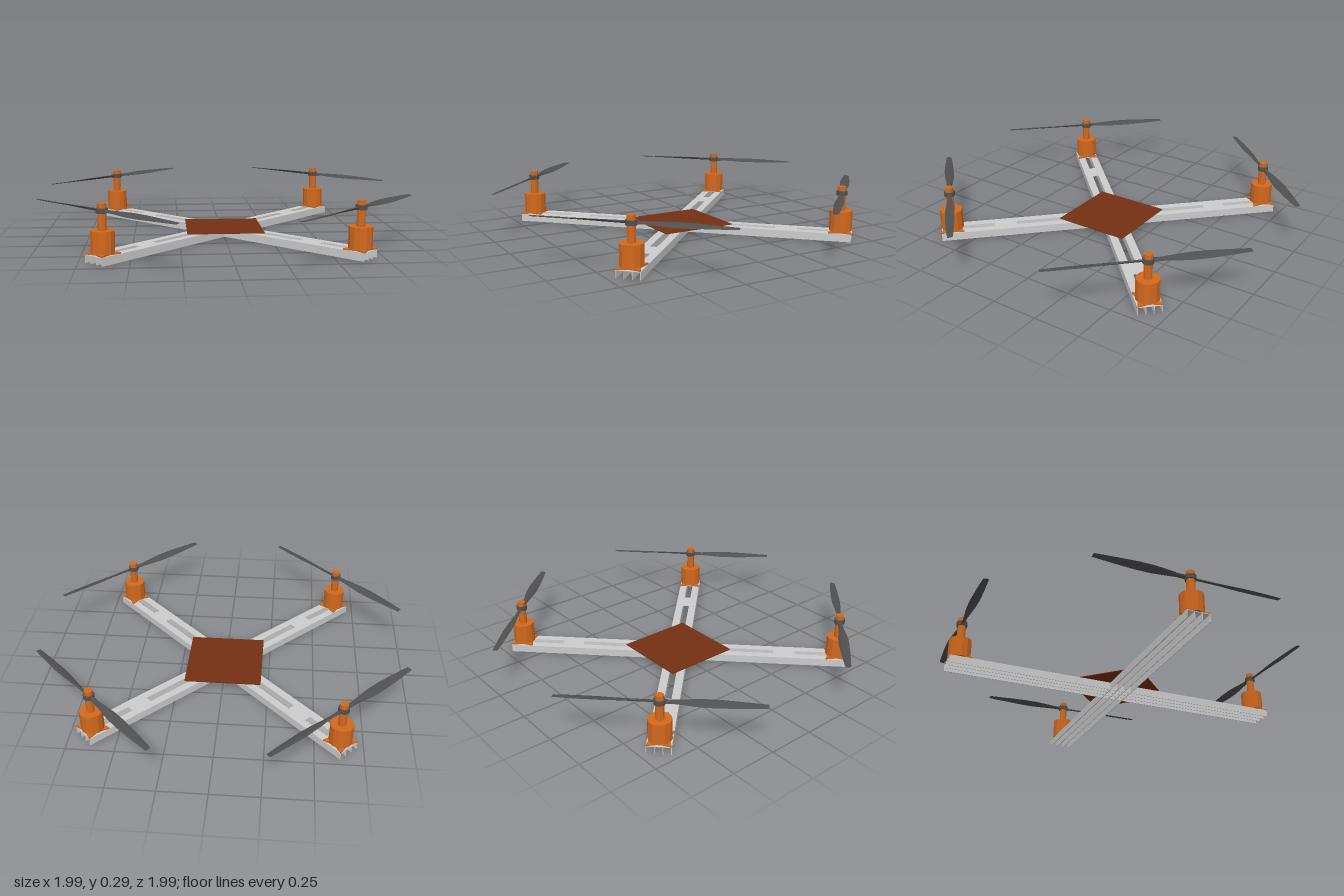
import * as THREE from 'three';

const mat = (color) => new THREE.MeshStandardMaterial({ color, flatShading: true, side: THREE.DoubleSide });
const grey = mat(0xcccccc), orange = mat(0xd2691e), brown = mat(0x743014), dark = mat(0x505050);

const BAR_H = 0.042, BAR_HALF = 0.95, MOTOR_R = 0.89;

function add(parent, name, geometry, material, x = 0, y = 0, z = 0) {
  const mesh = new THREE.Mesh(geometry, material);
  mesh.name = name;
  mesh.position.set(x, y, z);
  parent.add(mesh);
  return mesh;
}

// Flat shape in x/z, extruded upward
function slab(shape, height) {
  return new THREE.ExtrudeGeometry(shape, { depth: height, bevelEnabled: false }).rotateX(-Math.PI / 2);
}

function rectangle(x0, x1, halfWidth, Type) {
  return new Type([[x0, -halfWidth], [x1, -halfWidth], [x1, halfWidth], [x0, halfWidth]]
    .map(([x, y]) => new THREE.Vector2(x, y)));
}

// Open-bottomed bar: slotted top sheet on four thin walls
function frameBar() {
  const bar = new THREE.Group();
  bar.name = 'frameBar';
  const sheet = rectangle(-BAR_HALF, BAR_HALF, 0.0615, THREE.Shape);
  for (const [a, b] of [[0.1, 0.54], [0.66, 0.84]]) {
    sheet.holes.push(rectangle(a, b, 0.0185, THREE.Path), rectangle(-b, -a, 0.0185, THREE.Path));
  }
  add(bar, 'barTop', slab(sheet, 0.003), grey, 0, BAR_H - 0.003, 0);
  for (const z of [-0.06, -0.02, 0.02, 0.06]) {
    add(bar, 'barWall', new THREE.BoxGeometry(2 * BAR_HALF, BAR_H - 0.003, 0.003), grey, 0, (BAR_H - 0.003) / 2, z);
  }
  return bar;
}

// Twisted blade lofted along +z: [radius, chord, pitch, thickness]
function bladeGeometry() {
  const sections = [
    [0.015, 0.024, 0.5, 0.014], [0.07, 0.024, 0.45, 0.012], [0.13, 0.036, 0.4, 0.01],
    [0.2, 0.05, 0.33, 0.008], [0.28, 0.053, 0.26, 0.007], [0.38, 0.044, 0.2, 0.006],
    [0.46, 0.034, 0.15, 0.005], [0.5, 0.028, 0.12, 0.004],
  ];
  const n = 6, positions = [], index = [];
  sections.forEach(([r, chord, pitch, thick]) => {
    for (let j = 0; j < n; j++) {
      const a = (j / n) * Math.PI * 2;
      const u = Math.cos(a) * chord / 2, v = Math.sin(a) * thick / 2;
      positions.push(u * Math.cos(pitch) - v * Math.sin(pitch), u * Math.sin(pitch) + v * Math.cos(pitch), r);
    }
  });
  for (let i = 0; i < sections.length - 1; i++) {
    for (let j = 0; j < n; j++) {
      const a = i * n + j, b = i * n + (j + 1) % n;
      index.push(a, b, a + n, b, b + n, a + n);
    }
  }
  const last = (sections.length - 1) * n;
  for (let j = 1; j < n - 1; j++) index.push(0, j + 1, j, last, last + j, last + j + 1);
  const geometry = new THREE.BufferGeometry();
  geometry.setAttribute('position', new THREE.Float32BufferAttribute(positions, 3));
  geometry.setIndex(index);
  geometry.computeVertexNormals();
  return geometry;
}

function propeller() {
  const prop = new THREE.Group();
  prop.name = 'propeller';
  add(prop, 'propellerHub', new THREE.CylinderGeometry(0.029, 0.029, 0.024, 12), dark);
  const geometry = bladeGeometry();
  for (const turn of [0, Math.PI]) add(prop, 'blade', geometry, dark).rotation.y = turn;
  return prop;
}

// Motor with cross-shaped mount, shaft and propeller
function motorUnit() {
  const unit = new THREE.Group();
  unit.name = 'motorUnit';
  const star = new THREE.Shape();
  for (let i = 0; i < 8; i++) {
    const a = (i + 1) * Math.PI / 4, r = i % 2 ? 0.045 : 0.087;
    star[i ? 'lineTo' : 'moveTo'](r * Math.cos(a), r * Math.sin(a));
  }
  add(unit, 'motorMount', slab(star, 0.008), orange, 0, BAR_H, 0);
  add(unit, 'motorBody', new THREE.CylinderGeometry(0.06, 0.06, 0.11, 12), orange, 0, 0.105, 0);
  add(unit, 'motorShaft', new THREE.CylinderGeometry(0.022, 0.022, 0.13, 10), orange, 0, 0.225, 0);
  const prop = propeller();
  prop.position.y = 0.255;
  unit.add(prop);
  return unit;
}

export function createModel() {
  const model = new THREE.Group();
  model.name = 'quadcopter';

  // Crossed frame bars
  for (const turn of [Math.PI / 4, -Math.PI / 4]) {
    const bar = frameBar();
    bar.rotation.y = turn;
    model.add(bar);
  }

  // Centre plate
  add(model, 'centrePlate', new THREE.BoxGeometry(0.42, 0.004, 0.42), brown, 0, BAR_H + 0.002, 0);

  // One motor at each bar end
  for (let i = 0; i < 4; i++) {
    const arm = new THREE.Group();
    arm.name = 'armEnd';
    const unit = motorUnit();
    unit.position.x = MOTOR_R;
    arm.add(unit);
    arm.rotation.y = Math.PI / 4 + i * Math.PI / 2;
    model.add(arm);
  }
  return model;
}
